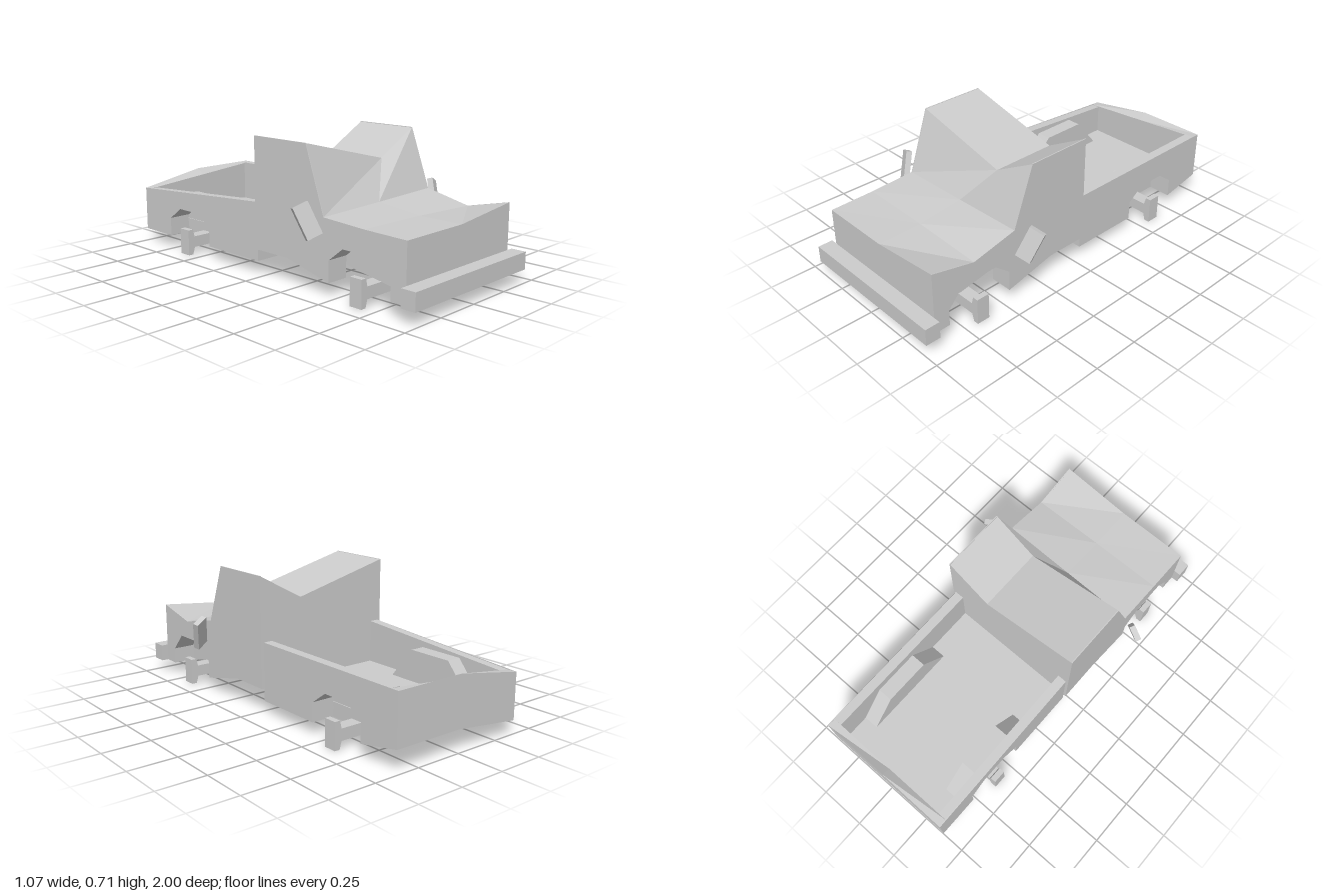
import * as THREE from 'three';

const grey = new THREE.MeshStandardMaterial({ color: 0xcccccc, flatShading: true, side: THREE.DoubleSide });
const clamp = (v) => Math.min(1, Math.max(0, v));

// Moves every vertex of a geometry by a rule
function moveVertices(geo, rule) {
  const p = geo.attributes.position;
  const v = new THREE.Vector3();
  for (let i = 0; i < p.count; i++) {
    rule(v.fromBufferAttribute(p, i));
    p.setXYZ(i, v.x, v.y, v.z);
  }
  geo.computeVertexNormals();
  return geo;
}

// Extrudes a side profile of [z, y] points from x0 to x1, then bends it
function sideExtrude(points, x0, x1, steps = 1, bend = () => {}) {
  const shape = new THREE.Shape(points.map(([z, y]) => new THREE.Vector2(z, y)));
  const geo = new THREE.ExtrudeGeometry(shape, { depth: x1 - x0, steps, bevelEnabled: false });
  geo.rotateY(-Math.PI / 2);
  geo.translate(x1, 0, 0);
  return moveVertices(geo, bend);
}

function add(parent, name, geo) {
  const mesh = new THREE.Mesh(geo, grey);
  mesh.name = name;
  parent.add(mesh);
  return mesh;
}

// Adds the same profile on both sides, between the distances a and b from the middle
function addPair(parent, part, points, a, b, bend) {
  add(parent, 'left' + part, sideExtrude(points, a, b, 1, bend));
  add(parent, 'right' + part, sideExtrude(points, -b, -a, 1, bend));
}

// Dents in the hood and roof: heights for right side, middle and left side
function bendCab(v) {
  if (v.y < 0.3) return;
  const k = v.x < -0.1 ? 0 : v.x > 0.1 ? 2 : 1;
  if (v.y > 0.6) {
    if (k === 1) { v.x = 0.15; v.y = 0.575; }
  } else if (v.z > 0.8) v.y = [0.36, 0.36, 0.4][k];
  else if (v.z > 0.6) v.y = [0.365, 0.36, 0.345][k];
  else v.y = [0.378, 0.388, 0.4][k];
}

// Bed: right rear rim sinks, left rear bottom edge is pushed up
function bendBed(v) {
  if (v.y < 0.1) {
    v.y += 0.045 * clamp((-0.77 - v.z) / 0.23) * clamp((v.x + 0.38) / 0.38);
  } else if (v.y > 0.36) {
    const inner = clamp((0.33 - v.x) / 0.66);
    const outer = clamp(-v.x / 0.38);
    const across = THREE.MathUtils.lerp(inner, outer, clamp((-0.955 - v.z) / 0.045));
    v.y -= 0.065 * across * clamp((-0.04 - v.z) / 0.92);
  }
}

// Hollow cab: a skin over the nose, hood, windshield, roof and back, plus thin sides
function buildCab() {
  const cab = new THREE.Group();
  cab.name = 'cab';
  const over = [[0.92, 0.07], [0.92, 0.4], [0.68, 0.35], [0.43, 0.4], [0.315, 0.71], [-0.04, 0.71], [-0.04, 0.135]];
  const rows = over.length - 1;
  add(cab, 'cabSkin', moveVertices(new THREE.PlaneGeometry(0.79, rows, 2, rows), (v) => {
    const [z, y] = over[Math.round(v.y + rows / 2)];
    v.set(v.x, y, z);
    bendCab(v);
  }).rotateY(0));

  const arch = [[0.835, 0.07], [0.835, 0.155], [0.75, 0.249], [0.55, 0.249], [0.465, 0.18], [0.465, 0.07]];
  addPair(cab, 'CabSide', [...over, [0.185, 0.135], ...[...arch].reverse()], 0.39, 0.395, bendCab);

  // Thin arch liners and the plates closing them inside
  const hood = [[0.84, 0.07], [0.84, 0.158], [0.753, 0.255], [0.547, 0.255], [0.46, 0.183], [0.46, 0.07]];
  addPair(cab, 'ArchLiner', [...hood, ...[...arch].reverse()], 0.275, 0.39);
  addPair(cab, 'ArchPlate', [...hood.slice(0, 5), [0.46, 0.135]], 0.27, 0.275);
  return cab;
}

function buildBed() {
  const bed = new THREE.Group();
  bed.name = 'bed';
  const archTop = [[-0.43, 0.17], [-0.52, 0.235], [-0.68, 0.235], [-0.77, 0.17]];
  const arch = [[-0.43, 0.07], ...archTop, [-0.77, 0.07]];
  const hump = [[-0.83, 0.15], [-0.69, 0.315], [-0.44, 0.315], [-0.305, 0.15]];

  // Walls are thick above the floor and thin skirts below it
  addPair(bed, 'BedSide', [[-0.04, 0.375], [-0.04, 0.07], ...arch, [-1, 0.07], [-1, 0.375]], 0.375, 0.38, bendBed);
  addPair(bed, 'BedWall', [[-0.04, 0.375], [-0.04, 0.13], [-0.43, 0.13], ...archTop, [-0.77, 0.13],
    [-0.955, 0.13], [-0.955, 0.375]], 0.33, 0.375, bendBed);
  add(bed, 'tailgate', sideExtrude(
    [[-0.955, 0.375], [-0.955, 0.13], [-0.995, 0.13], [-0.995, 0.07], [-1, 0.07], [-1, 0.375]],
    -0.38, 0.38, 2, bendBed));
  add(bed, 'bedFrontPanel', sideExtrude([[-0.04, 0.15], [-0.04, 0.07], [-0.045, 0.07], [-0.045, 0.15]], -0.375, 0.375));
  add(bed, 'bedFloor', sideExtrude([[-0.04, 0.15], [-0.04, 0.13], [-0.97, 0.13], [-0.97, 0.15]], -0.26, 0.26));

  // Wheel wells stand on the floor, closed towards the middle
  addPair(bed, 'WheelWell',
    [[-0.04, 0.15], [-0.04, 0.13], [-0.425, 0.13], [-0.425, 0.07], ...arch, [-0.775, 0.07], [-0.775, 0.13],
      [-0.97, 0.13], [-0.97, 0.15], ...hump], 0.255, 0.375);
  addPair(bed, 'WellPlate',
    [[-0.305, 0.13], [-0.425, 0.13], [-0.425, 0.07], [-0.775, 0.07], [-0.775, 0.13], [-0.83, 0.13], ...hump], 0.25, 0.255);
  return bed;
}

// Axle beam with an upright hub plate at each end
function buildAxle(parent, name, z) {
  const outline = [[0.375, 0.04], [0.387, 0], [0.415, 0], [0.415, 0.14], [0.385, 0.14], [0.375, 0.1]];
  const mirrored = outline.map(([x, y]) => [-x, y]).reverse();
  const shape = new THREE.Shape([...outline, ...mirrored].map(([x, y]) => new THREE.Vector2(x, y)));
  const geo = new THREE.ExtrudeGeometry(shape, { depth: 0.07, bevelEnabled: false });
  geo.translate(0, 0, z - 0.035);
  add(parent, name, geo);
}

export function createModel() {
  const model = new THREE.Group();
  model.name = 'wreckedPickup';
  model.add(buildCab(), buildBed());

  const bumper = add(model, 'frontBumper', new THREE.BoxGeometry(0.865, 0.09, 0.08));
  bumper.position.set(0, 0.115, 0.96);

  buildAxle(model, 'frontAxle', 0.65);
  buildAxle(model, 'rearAxle', -0.6);

  // Tilted side mirrors
  for (const [name, s, y] of [['leftMirror', 1, 0.35], ['rightMirror', -1, 0.371]]) {
    const mirror = add(model, name, new THREE.BoxGeometry(0.08, 0.163, 0.03));
    mirror.position.set(s * 0.477, y, 0.405);
    mirror.rotation.set(-0.24, s * 0.48, -s * 0.38, 'YXZ');
  }
  return model;
}
